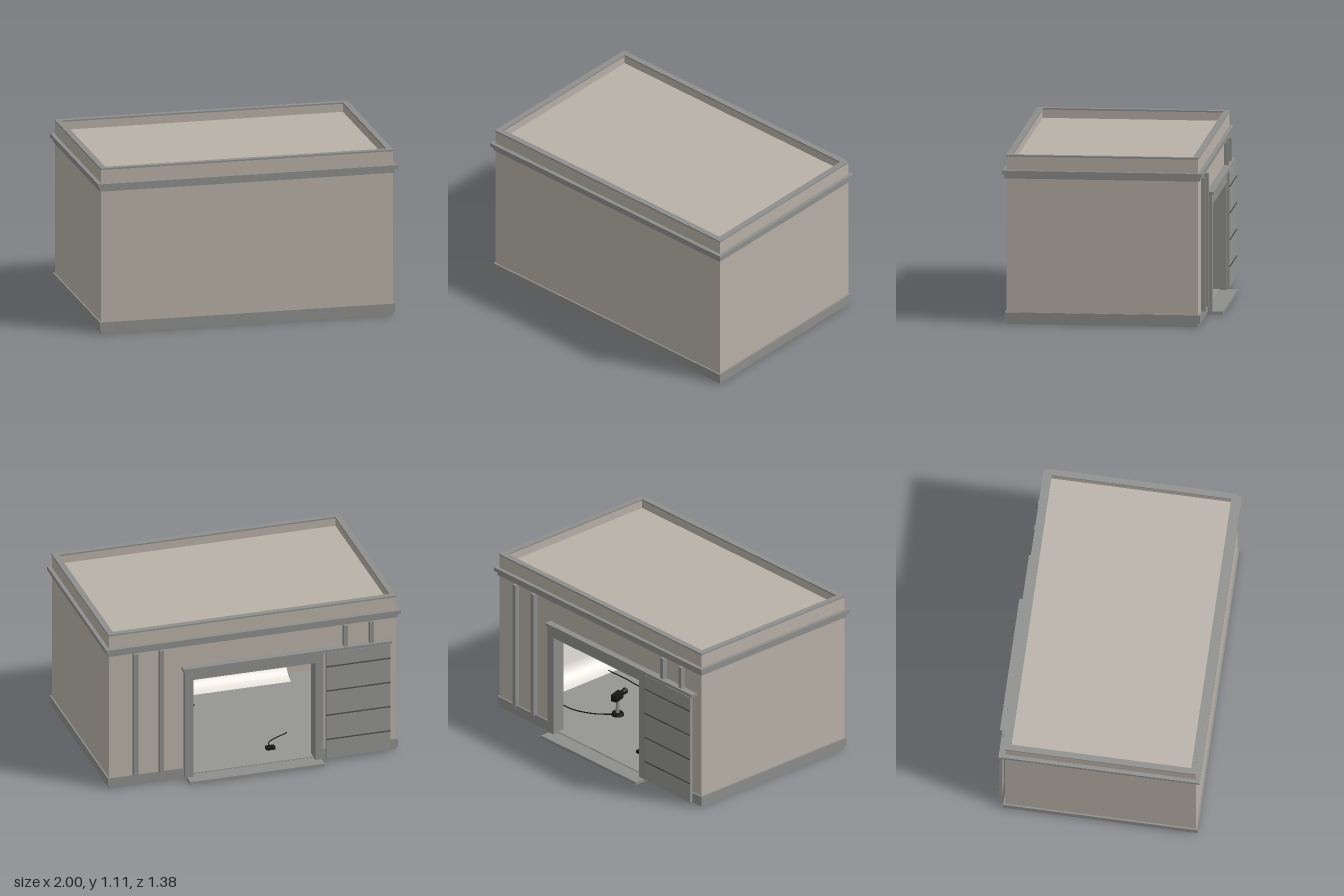
import * as THREE from 'three';

const CZ = 0.042; // building centre in z

export function createModel() {
  const model = new THREE.Group();
  const mat = (name, color, side = THREE.FrontSide) => {
    const m = new THREE.MeshStandardMaterial({ color, side });
    m.name = name;
    return m;
  };
  const plaster = mat('warm plaster', 0xb9b1a8);
  const trim = mat('grey trim', 0x8e8f8c);
  const doorGrey = mat('door grey', 0x939492);
  const seam = mat('dark seam', 0x4a4b4a);
  const white = mat('backdrop white', 0xe9e5de, THREE.DoubleSide);
  const black = mat('equipment black', 0x161616);
  const floorGrey = mat('floor grey', 0x969694);

  const add = (name, geo, material, parent = model) => {
    const m = new THREE.Mesh(geo, material);
    m.name = name;
    parent.add(m);
    return m;
  };
  // Box given by its min and max corners
  const block = (name, x0, x1, y0, y1, z0, z1, material, parent) => {
    const m = add(name, new THREE.BoxGeometry(x1 - x0, y1 - y0, z1 - z0), material, parent);
    m.position.set((x0 + x1) / 2, (y0 + y1) / 2, (z0 + z1) / 2);
    return m;
  };
  // Rectangular frame lying flat around the building
  const ring = (name, hx, hz, inX, inZ, y0, y1, material) => {
    const s = new THREE.Shape([[-hx, -hz], [hx, -hz], [hx, hz], [-hx, hz]].map(p => new THREE.Vector2(...p)));
    s.holes.push(new THREE.Path([[-inX, -inZ], [-inX, inZ], [inX, inZ], [inX, -inZ]].map(p => new THREE.Vector2(...p))));
    const g = new THREE.ExtrudeGeometry(s, { depth: y1 - y0, bevelEnabled: false });
    g.rotateX(-Math.PI / 2).translate(0, y0, CZ);
    return add(name, g, material);
  };
  const tube = (name, pts, r, parent) => add(name, new THREE.TubeGeometry(
    new THREE.CatmullRomCurve3(pts.map(p => new THREE.Vector3(...p))), 24, r, 5), black, parent);

  // Slab and interior floor
  block('baseSlab', -0.975, 0.975, 0, 0.022, CZ - 0.625, CZ + 0.625, trim);
  block('studioFloor', -0.94, 0.94, 0.022, 0.026, CZ - 0.62, CZ + 0.59, floorGrey);
  block('threshold', -0.457, 0.457, 0, 0.02, -0.69, -0.58, trim);

  // Walls
  block('frontWall', -0.975, 0.975, 0.022, 1.0, 0.632, 0.667, plaster);
  for (const s of [-1, 1]) {
    block('sideWall', s * 0.9575 - 0.0175, s * 0.9575 + 0.0175, 0.022, 1.0, -0.583, 0.632, plaster);
    block('backWall', s * 0.69 - 0.25, s * 0.69 + 0.25, 0.022, 1.0, -0.583, -0.548, plaster);
  }
  block('wallOverDoor', -0.44, 0.44, 0.75, 1.0, -0.583, -0.548, plaster);

  // Roof, parapet and mouldings
  block('roofDeck', -0.94, 0.94, 0.99, 1.045, -0.55, 0.633, plaster);
  ring('parapet', 0.975, 0.625, 0.942, 0.592, 1.0, 1.1, plaster);
  ring('coping', 0.978, 0.628, 0.938, 0.588, 1.1, 1.11, trim);
  ring('lowerCornice', 0.985, 0.636, 0.96, 0.61, 0.957, 0.985, trim);
  ring('upperCornice', 1.0, 0.65, 0.96, 0.61, 0.985, 1.01, trim);

  // Base band, left open at the doorway
  block('frontBaseBand', -0.985, 0.985, 0.022, 0.078, 0.66, 0.678, trim);
  for (const s of [-1, 1]) {
    block('sideBaseBand', s * 0.9775 - 0.0075, s * 0.9775 + 0.0075, 0.022, 0.078, -0.594, 0.66, trim);
    block('backBaseBand', s * 0.7275 - 0.2575, s * 0.7275 + 0.2575, 0.022, 0.078, -0.594, -0.58, trim);
  }

  // Pilasters on the back wall
  for (const x of [-0.8, -0.625, 0.625, 0.8])
    block('pilaster', x - 0.014, x + 0.014, 0.078, 0.957, -0.615, -0.58, trim);

  // Door frame
  for (const s of [-1, 1])
    block('doorJamb', s * 0.442 - 0.028, s * 0.442 + 0.028, 0.02, 0.79, -0.62, -0.53, trim);
  block('doorHeader', -0.414, 0.414, 0.72, 0.79, -0.62, -0.53, trim);
  block('doorRail', -0.93, 0.482, 0.788, 0.808, -0.63, -0.58, trim);

  // Sliding door, pushed open
  const door = new THREE.Group();
  door.name = 'slidingDoor';
  model.add(door);
  block('doorPanel', -0.92, -0.485, 0.028, 0.788, -0.634, -0.612, doorGrey, door);
  for (let i = 0; i < 4; i++) {
    const y = 0.165 + i * 0.175;
    block('doorSeam', -0.918, -0.487, y - 0.004, y + 0.004, -0.638, -0.634, seam, door);
  }

  // Curved backdrop: a coved profile swept round the corner
  const path = [[0.935, -0.5, 1, 0]];
  for (let i = 0; i <= 12; i++) {
    const a = i / 12 * Math.PI / 2, c = Math.cos(a), s = Math.sin(a);
    path.push([0.735 + 0.2 * c, 0.425 + 0.2 * s, c, s]);
  }
  path.push([-0.6, 0.625, 0, 1]);
  const profile = [];
  for (let i = 0; i <= 8; i++) {
    const a = i / 8 * Math.PI / 2;
    profile.push([0.12 * (1 - Math.sin(a)), 0.028 + 0.12 * (1 - Math.cos(a))]);
  }
  profile.push([0, 0.8]);
  const pos = [], idx = [], n = profile.length;
  path.forEach(([x, z, nx, nz], i) => profile.forEach(([d, y], j) => {
    pos.push(x - nx * d, y, z - nz * d);
    if (i && j) {
      const a = (i - 1) * n + j - 1, b = i * n + j - 1;
      idx.push(a, a + 1, b, b, a + 1, b + 1);
    }
  }));
  const sweep = new THREE.BufferGeometry();
  sweep.setAttribute('position', new THREE.Float32BufferAttribute(pos, 3));
  sweep.setIndex(idx);
  sweep.computeVertexNormals();
  add('curvedBackdrop', sweep, white);

  // Lighting grid with hanging spotlights
  const rows = [-0.34, 0.03, 0.4], cols = [-0.8, -0.48, -0.16, 0.16, 0.48, 0.8];
  for (const z of rows) block('gridPipe', -0.94, 0.94, 0.917, 0.923, z - 0.003, z + 0.003, black);
  for (const x of cols) block('gridPipe', x - 0.003, x + 0.003, 0.923, 0.929, -0.548, 0.632, black);
  for (const z of rows) for (const x of cols.filter((_, i) => i !== 3)) {
    const lamp = new THREE.Group();
    lamp.name = 'spotlight';
    lamp.position.set(x, 0.88, z);
    block('lampHanger', -0.004, 0.004, 0, 0.04, -0.004, 0.004, black, lamp);
    add('lampBody', new THREE.CylinderGeometry(0.016, 0.023, 0.045, 10), black, lamp).rotation.x = -0.5;
    model.add(lamp);
  }

  // Pedestal camera
  const cam = new THREE.Group();
  cam.name = 'pedestalCamera';
  cam.position.set(0.335, 0.026, -0.13);
  model.add(cam);
  add('pedestalBase', new THREE.CylinderGeometry(0.036, 0.042, 0.02, 12), black, cam).position.y = 0.01;
  add('pedestalColumn', new THREE.CylinderGeometry(0.01, 0.014, 0.1, 8), trim, cam).position.y = 0.065;
  const head = new THREE.Group();
  head.name = 'cameraHead';
  head.position.y = 0.135;
  head.rotation.y = 0.3;
  cam.add(head);
  block('cameraBody', -0.022, 0.022, -0.02, 0.025, -0.05, 0.04, black, head);
  const lens = add('cameraLens', new THREE.CylinderGeometry(0.021, 0.015, 0.06, 10), black, head);
  lens.rotation.x = Math.PI / 2;
  lens.position.z = 0.07;

  // Floor monitor and cables
  block('floorMonitor', -0.21, -0.15, 0.026, 0.045, -0.41, -0.37, black);
  tube('floorCable', [[0.89, 0.03, 0.25], [0.7, 0.03, 0.255], [0.5, 0.03, 0.25], [0.3, 0.03, 0.32], [0.1, 0.03, 0.36]], 0.004);
  tube('floorCable', [[0.335, 0.03, -0.13], [0.45, 0.03, -0.24], [0.6, 0.03, -0.3], [0.8, 0.03, -0.28]], 0.004);
  tube('floorCable', [[-0.18, 0.03, -0.39], [-0.2, 0.03, -0.3], [-0.35, 0.03, -0.2]], 0.004);

  return model;
}
